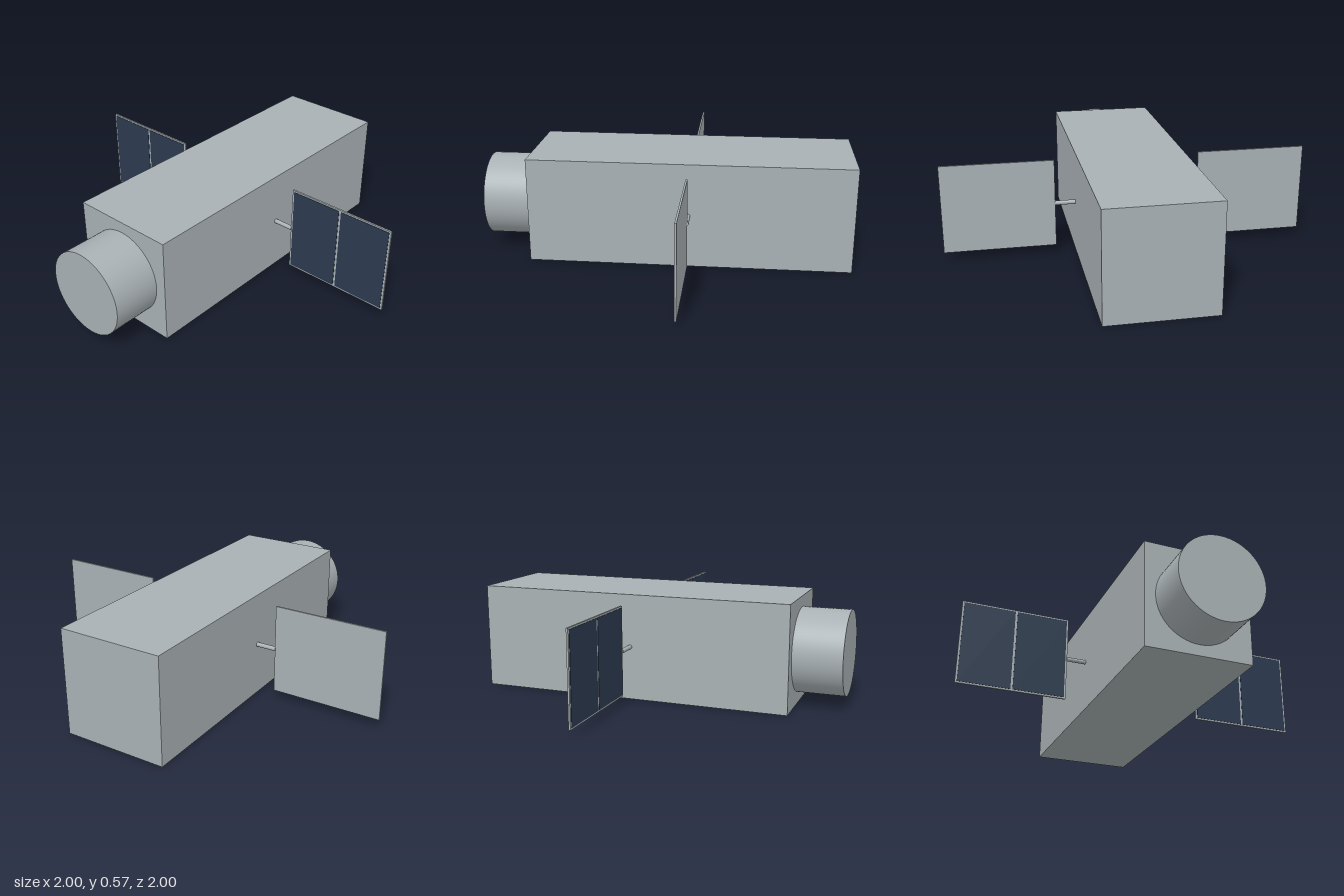
import * as THREE from 'three';

export function createModel() {
  const model = new THREE.Group();
  model.name = 'satellite';

  const mat = (name, color) => {
    const m = new THREE.MeshStandardMaterial({ color });
    m.name = name;
    return m;
  };
  const hullGrey = mat('hull grey', 0xa9b1b4);
  const cellBlue = mat('solar cell blue', 0x2c3b50);

  const add = (parent, name, geometry, material, x, y, z) => {
    const mesh = new THREE.Mesh(geometry, material);
    mesh.name = name;
    mesh.position.set(x, y, z);
    parent.add(mesh);
    return mesh;
  };

  const midY = 0.287;
  const wingZ = -0.126;

  // Long square hull with a round nose at the front
  add(model, 'hull', new THREE.BoxGeometry(0.572, 0.574, 1.74), hullGrey, 0, midY, -0.13);
  const nose = add(model, 'nose', new THREE.CylinderGeometry(0.228, 0.228, 0.27, 64), hullGrey, 0, midY, 0.865);
  nose.rotation.x = Math.PI / 2;

  // One solar wing on each side: strut, panel and two cell plates
  for (const side of [1, -1]) {
    const wing = new THREE.Group();
    wing.name = side > 0 ? 'leftWing' : 'rightWing';
    model.add(wing);

    const strut = add(wing, 'strut', new THREE.CylinderGeometry(0.012, 0.012, 0.13, 24), hullGrey, side * 0.333, 0.289, wingZ);
    strut.rotation.z = Math.PI / 2;

    add(wing, 'panel', new THREE.BoxGeometry(0.605, 0.486, 0.01), hullGrey, side * 0.6975, 0.289, wingZ);
    for (const x of [0.5485, 0.8465]) {
      add(wing, 'solarCells', new THREE.BoxGeometry(0.286, 0.468, 0.002), cellBlue, side * x, 0.289, wingZ + 0.006);
    }
  }

  return model;
}
